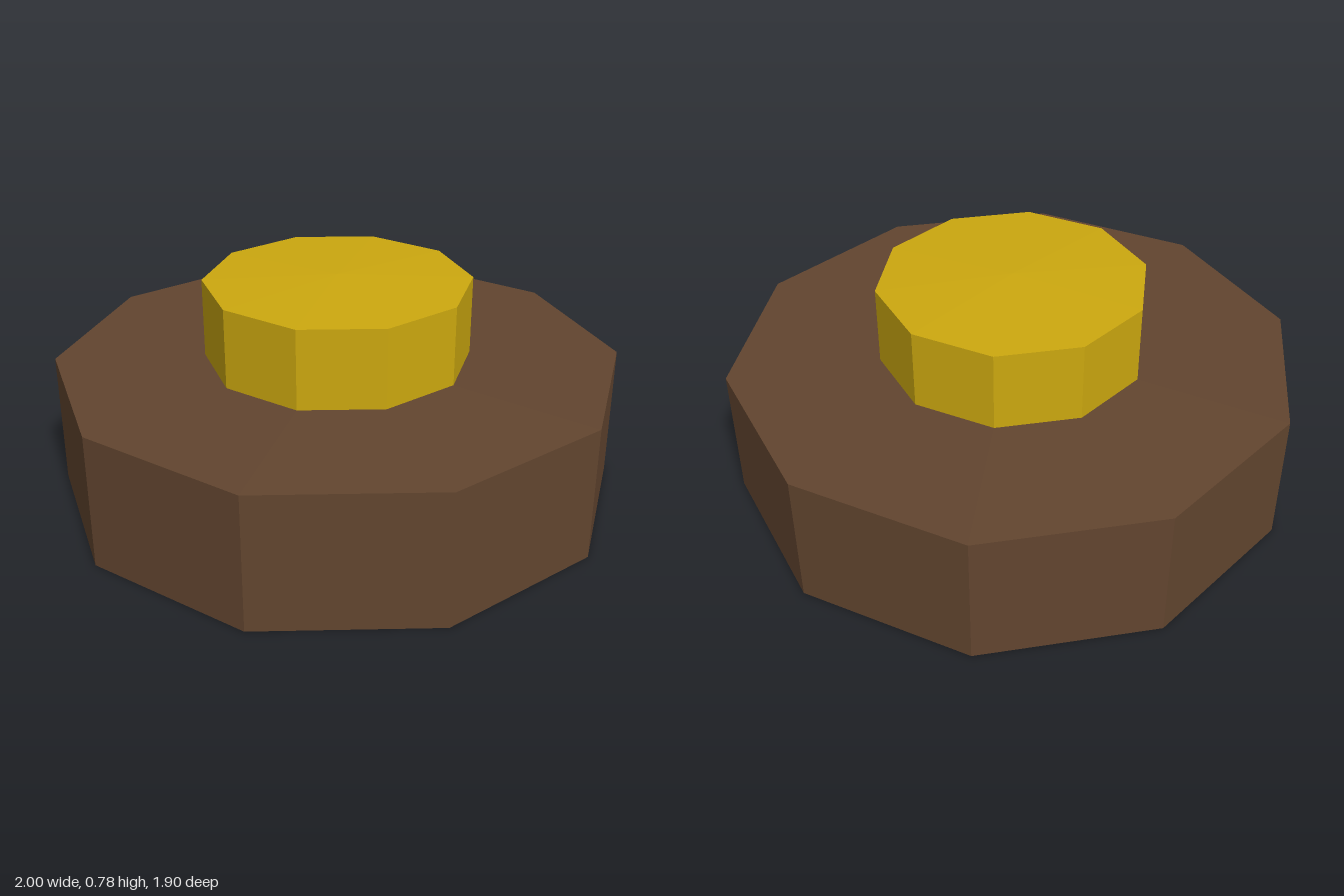
import * as THREE from 'three';

const SIDES = 10;

// Ten-sided solid with a flat bottom and a shallow cone on top
function decagonSolid(name, color, materialName, radius, bottom, rim, peak) {
  const profile = [[0, bottom], [radius, bottom], [radius, rim], [0, peak]]
    .map(([x, y]) => new THREE.Vector2(x, y));
  const geometry = new THREE.LatheGeometry(profile, SIDES, Math.PI / 2);
  const material = new THREE.MeshStandardMaterial({ color, flatShading: true });
  material.name = materialName;
  const mesh = new THREE.Mesh(geometry, material);
  mesh.name = name;
  return mesh;
}

export function createModel() {
  const model = new THREE.Group();
  model.name = 'steppedDisc';
  // Wide brown base
  model.add(decagonSolid('base', 0x62452f, 'brown', 1, 0, 0.475, 0.495));
  // Gold cap, its foot sunk slightly into the base
  model.add(decagonSolid('cap', 0xcca80f, 'gold', 0.47, 0.47, 0.767, 0.784));
  return model;
}
